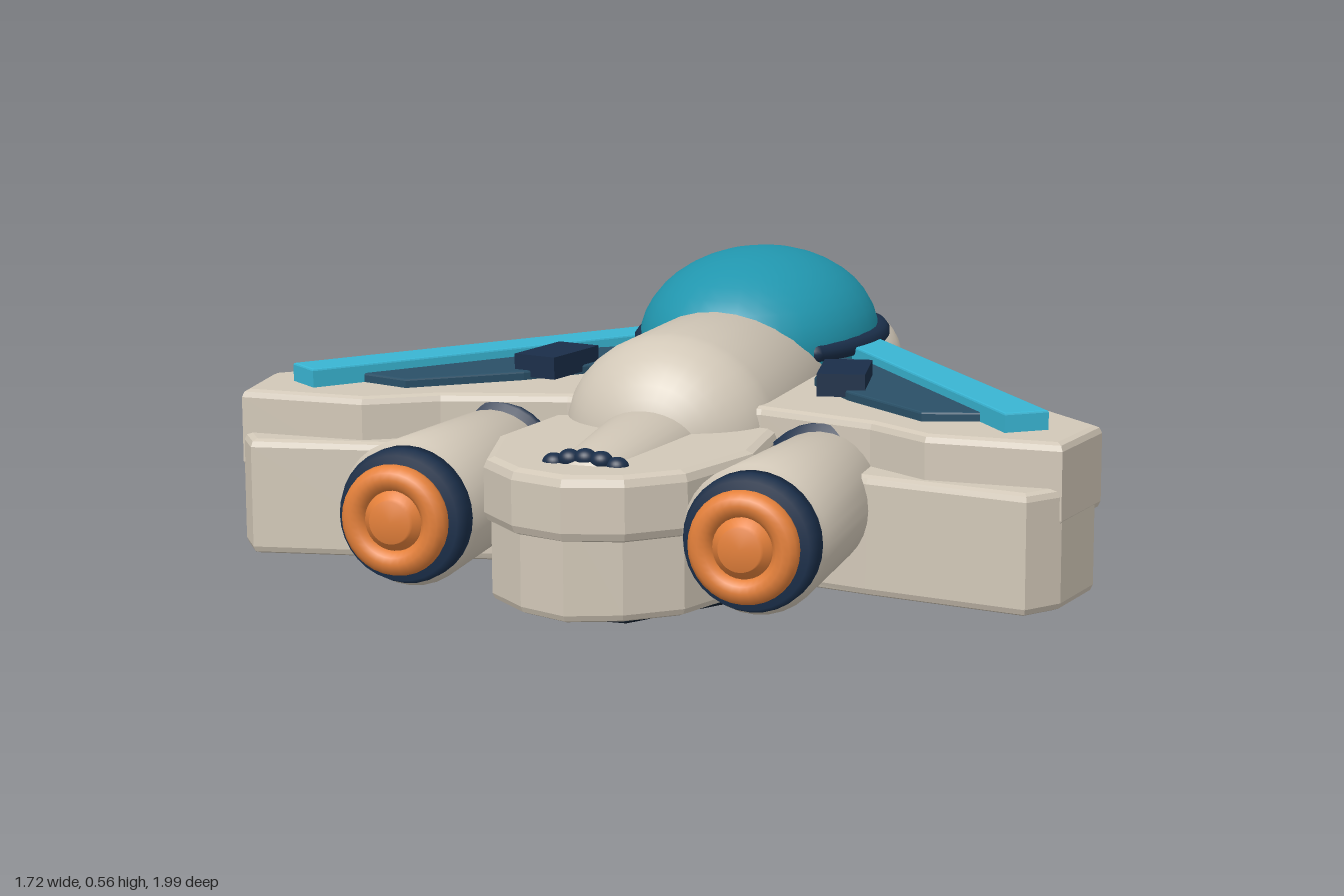
import * as THREE from 'three';

const mat = (color) => new THREE.MeshStandardMaterial({ color });
const HULL = mat(0xd2c8b8), NAVY = mat(0x1a2e49), CYAN = mat(0x39b5d3), GLASS = mat(0x2196ae);
const PANEL = mat(0x2a5067), ORANGE = mat(0xe5813b), BELLY = mat(0x0f1c2a), SILVER = mat(0xc9cabf);

function add(parent, name, geometry, material, x = 0, y = 0, z = 0) {
  const mesh = new THREE.Mesh(geometry, material);
  mesh.name = name;
  mesh.position.set(x, y, z);
  parent.add(mesh);
  return mesh;
}

// Plan outline in [x, z], extruded between two heights with a small bevel
function slab(points, y0, y1, bevel = 0.015) {
  const shape = new THREE.Shape(points.map(([x, z]) => new THREE.Vector2(x, z)));
  const g = new THREE.ExtrudeGeometry(shape, {
    depth: y1 - y0 - 2 * bevel, bevelEnabled: bevel > 0,
    bevelSize: bevel, bevelThickness: bevel, bevelOffset: -bevel, bevelSegments: 2,
  });
  g.rotateX(Math.PI / 2);
  g.translate(0, y1 - bevel, 0);
  return g;
}

// Completes a half outline (nose to tail, x >= 0) across the centre line
function mirrored(half) {
  const other = half.filter(([x]) => x > 0).reverse().map(([x, z]) => [-x, z]);
  return [...half, ...other];
}

// Lathe profile in [radius, z], turned about the z axis
function turned(profile, segments = 32) {
  const g = new THREE.LatheGeometry(profile.map(([r, z]) => new THREE.Vector2(r, z)), segments);
  return g.rotateX(Math.PI / 2);
}

const ellipsoid = (rx, ry, rz) => new THREE.SphereGeometry(1, 32, 20).scale(rx, ry, rz);

function addHull(model) {
  add(model, 'lowerHull', slab(mirrored([
    [0, -0.925], [0.09, -0.68], [0.145, -0.45], [0.24, -0.12], [0.855, 0.44], [0.83, 0.6],
    [0.78, 0.67], [0.46, 0.61], [0.25, 0.56], [0.25, 0.68], [0.19, 0.86], [0.1, 0.94], [0, 0.98],
  ]), 0.02, 0.25), HULL);
  add(model, 'upperWing', slab(mirrored([
    [0, -0.36], [0.17, -0.34], [0.27, -0.16], [0.86, 0.41], [0.83, 0.605], [0.57, 0.605],
    [0.44, 0.52], [0.2, 0.45], [0, 0.45],
  ]), 0.175, 0.335), HULL);
  add(model, 'tailDeck', slab(mirrored([
    [0, 0.35], [0.23, 0.4], [0.26, 0.66], [0.2, 0.87], [0.11, 0.955], [0, 0.99],
  ]), 0.17, 0.295, 0.02), HULL);
  add(model, 'bellyPlate', slab(mirrored([
    [0.03, -0.73], [0.29, 0.1], [0.27, 0.58], [0.08, 0.87],
  ]), 0, 0.025, 0.004), BELLY);

  // Flat prongs at the nose
  const prong = [[0, -1], [0.045, -0.78], [-0.045, -0.78]];
  add(model, 'nosePronglower', slab(prong, 0.13, 0.152, 0), SILVER);
  add(model, 'noseProngUpper', slab(prong, 0.16, 0.182, 0), SILVER);
}

function addCockpit(model) {
  add(model, 'cockpitTub', ellipsoid(0.235, 0.13, 0.31), HULL, 0, 0.36, -0.17);
  add(model, 'canopy', ellipsoid(0.243, 0.185, 0.32), GLASS, 0, 0.37, -0.15);

  // Rim wraps the front of the canopy and is open at the rear
  const arc = [];
  for (let i = 0; i <= 24; i++) {
    const a = -0.72 + (i / 24) * (Math.PI + 1.44);
    arc.push(new THREE.Vector3(0.242 * Math.cos(a), 0, -0.17 - 0.315 * Math.sin(a)));
  }
  const rim = new THREE.TubeGeometry(new THREE.CatmullRomCurve3(arc), 64, 0.02, 10);
  add(model, 'canopyRim', rim, NAVY, 0, 0.37, 0);
  for (const i of [0, 24]) {
    add(model, 'rimEnd', new THREE.SphereGeometry(0.02, 12, 8), NAVY, arc[i].x, 0.37, arc[i].z);
  }

  // Rounded spine behind the canopy, with a tapered tail fairing
  const profile = [[0, -0.1], [1, -0.1], [1, 0.39]];
  for (let i = 1; i <= 10; i++) {
    const a = (i / 10) * Math.PI / 2;
    profile.push([Math.cos(a), 0.39 + 0.18 * Math.sin(a)]);
  }
  add(model, 'spine', turned(profile).scale(0.213, 0.19, 1), HULL, 0, 0.27, 0);
  const fairing = turned([[0, 0.45], [0.118, 0.45], [0.075, 0.86], [0.06, 0.885], [0, 0.89]]);
  add(model, 'tailFairing', fairing.scale(1, 0.75, 1), HULL, 0, 0.255, 0);

  // Row of small vents across the end of the fairing
  for (let i = -2; i <= 2; i++) {
    add(model, 'tailVent', ellipsoid(0.022, 0.018, 0.02), NAVY, i * 0.031, 0.305 - 0.003 * i * i, 0.865);
  }
}

function addEngine(parent) {
  const engine = new THREE.Group();
  engine.name = 'engine';
  engine.position.set(0.338, 0.185, 0);
  parent.add(engine);
  add(engine, 'engineIntake', turned([[0, 0.415], [0.12, 0.415], [0.12, 0.52]]), HULL);
  add(engine, 'engineBand', turned([[0.1, 0.46], [0.125, 0.46], [0.135, 0.475], [0.135, 0.495], [0.1, 0.51]]), NAVY);
  add(engine, 'engineBody', turned([[0, 0.505], [0.122, 0.505], [0.138, 0.9], [0, 0.9]]), HULL);
  add(engine, 'exhaustCollar', turned([[0, 0.895], [0.128, 0.895], [0.128, 0.925], [0.118, 0.95], [0, 0.95]]), NAVY);
  add(engine, 'exhaustRing', new THREE.TorusGeometry(0.08, 0.025, 12, 32), ORANGE, 0, 0, 0.963);
  add(engine, 'exhaustDisc', turned([[0, 0.94], [0.085, 0.94], [0.085, 0.962], [0, 0.962]]), ORANGE);
  add(engine, 'exhaustCore', turned([[0.06, 0.955], [0.055, 0.975], [0.042, 0.978], [0.04, 0.99], [0, 0.99]]), ORANGE);
}

// Fittings for one side; direction s is +1 or -1
function addSide(model, s) {
  const side = new THREE.Group();
  side.name = s > 0 ? 'leftSide' : 'rightSide';
  model.add(side);

  const flip = (points) => points.map(([x, z]) => [s * x, z]);
  add(side, 'wingPanel', slab(flip([
    [0.2, -0.05], [0.645, 0.27], [0.68, 0.35], [0.64, 0.45], [0.53, 0.485], [0.34, 0.33], [0.23, 0.2],
  ]), 0.325, 0.353, 0.004), PANEL);
  add(side, 'wingStripe', slab(flip([
    [0.2, -0.242], [0.775, 0.485], [0.705, 0.54], [0.13, -0.187],
  ]), 0.33, 0.372, 0.004), CYAN);
  const box = add(side, 'wingBox', new THREE.BoxGeometry(0.095, 0.045, 0.165), NAVY, s * 0.305, 0.362, 0.24);
  box.rotation.y = s * 0.2;

  add(side, 'cheekPod', new THREE.SphereGeometry(0.118, 24, 16), HULL, s * 0.125, 0.285, -0.378);
  const clip = add(side, 'hullClip', new THREE.BoxGeometry(0.03, 0.1, 0.05), NAVY, s * 0.178, 0.055, -0.34);
  clip.rotation.y = s * 0.28;

  const holder = new THREE.Group();
  holder.name = 'engineMount';
  addEngine(holder);
  holder.children[0].position.x *= s;
  side.add(holder);
}

export function createModel() {
  const model = new THREE.Group();
  model.name = 'starfighter';
  addHull(model);
  addCockpit(model);
  for (const s of [1, -1]) addSide(model, s);
  // Turned profiles run front to back, so show both faces
  for (const m of [HULL, NAVY, ORANGE]) m.side = THREE.DoubleSide;
  return model;
}
